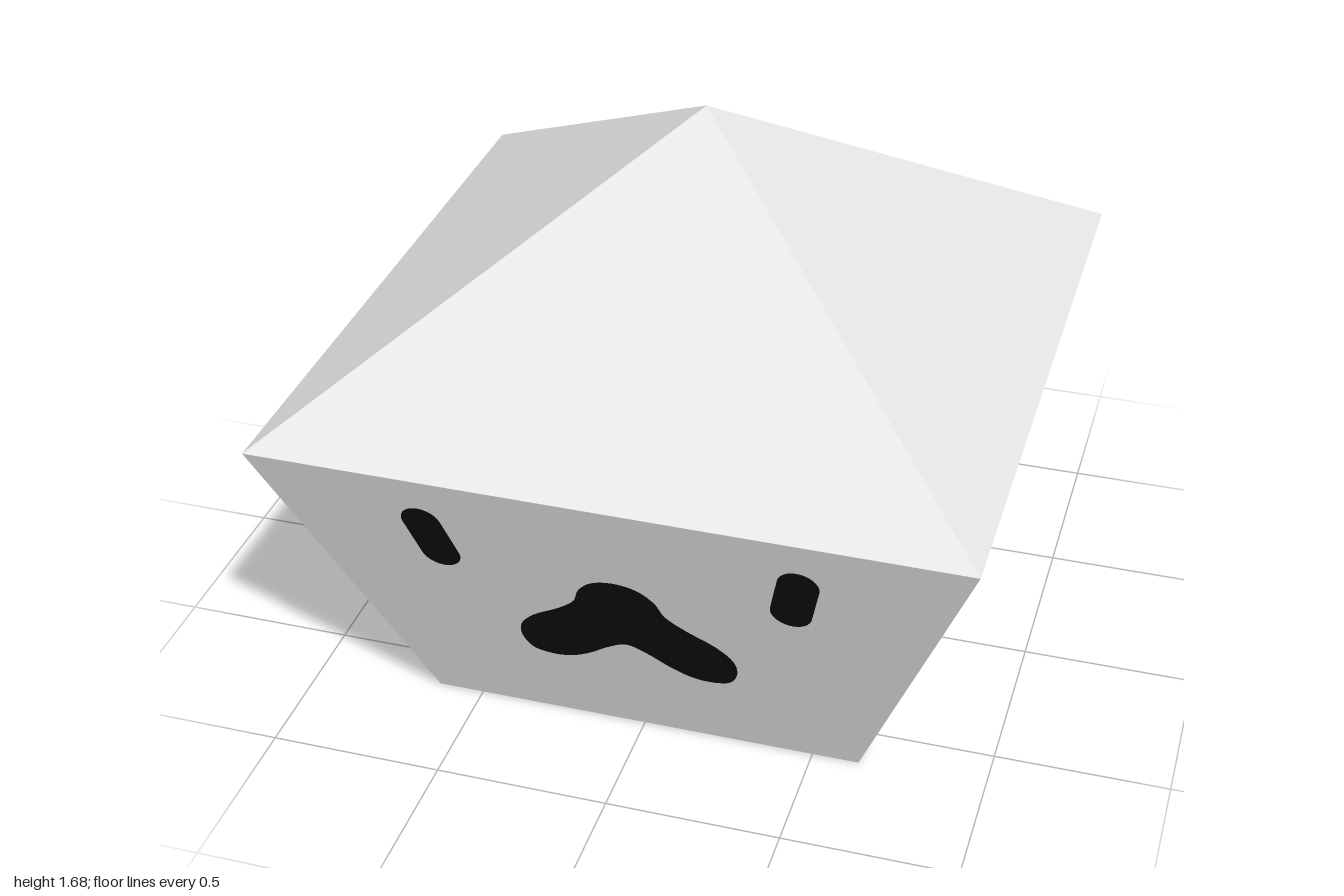
import * as THREE from 'three';

const BASE = 0.635, RIM = 1, RIM_Y = 0.98, APEX_Y = 1.68;

// z of the sloping front wall at height y
const wallZ = (y) => BASE + (RIM - BASE) * y / RIM_Y;

// Four-sided faceted solid from [half width, height] pairs, listed bottom to top
function squareLathe(profile) {
  const points = profile.map(([half, y]) => new THREE.Vector2(half * Math.SQRT2, y));
  const geometry = new THREE.LatheGeometry(points, 4, Math.PI / 4).toNonIndexed();
  geometry.computeVertexNormals();
  return geometry;
}

// Flat marking laid on the front wall
function marking(shape) {
  const geometry = new THREE.ShapeGeometry(shape, 16);
  const p = geometry.attributes.position;
  for (let i = 0; i < p.count; i++) p.setZ(i, wallZ(p.getY(i)) + 0.004);
  geometry.computeVertexNormals();
  return geometry;
}

// Slanted capsule outline between two centres
function capsule(top, bottom, r) {
  const a = Math.atan2(top[1] - bottom[1], top[0] - bottom[0]);
  const shape = new THREE.Shape();
  shape.absarc(top[0], top[1], r, a - Math.PI / 2, a + Math.PI / 2, false);
  shape.absarc(bottom[0], bottom[1], r, a + Math.PI / 2, a + Math.PI * 1.5, false);
  return shape;
}

export function createModel() {
  const bodyWhite = new THREE.MeshStandardMaterial({ color: 0xe8e8e8, flatShading: true });
  const faceBlack = new THREE.MeshStandardMaterial({ color: 0x0d0d0d, side: THREE.DoubleSide });
  const group = new THREE.Group();
  const add = (name, geometry, material) => {
    const mesh = new THREE.Mesh(geometry, material);
    mesh.name = name;
    group.add(mesh);
  };

  // Flaring lower body with its floor, and the pyramid top
  add('body', squareLathe([[0, 0], [BASE, 0], [RIM, RIM_Y]]), bodyWhite);
  add('pyramidTop', squareLathe([[RIM, RIM_Y], [0, APEX_Y]]), bodyWhite);

  // Eyes leaning outward at the top
  for (const [name, s] of [['leftEye', 1], ['rightEye', -1]]) {
    add(name, marking(capsule([s * 0.521, 0.813], [s * 0.492, 0.687], 0.057)), faceBlack);
  }

  // Nose and muzzle: half outline from top centre, mirrored
  const half = [
    [0.065, 0.664], [0.108, 0.62], [0.13, 0.565], [0.182, 0.517], [0.265, 0.46], [0.308, 0.405],
    [0.313, 0.35], [0.288, 0.3], [0.235, 0.284], [0.177, 0.291], [0.118, 0.322], [0.055, 0.37],
  ];
  const outline = [
    [0, 0.68], ...half, [0, 0.396],
    ...half.map(([x, y]) => [-x, y]).reverse(),
  ].map(([x, y]) => new THREE.Vector3(x, y, 0));
  const curve = new THREE.CatmullRomCurve3(outline, true);
  const loop = curve.getPoints(104).slice(0, -1).reverse();
  add('muzzle', marking(new THREE.Shape(loop.map((p) => new THREE.Vector2(p.x, p.y)))), faceBlack);

  return group;
}
